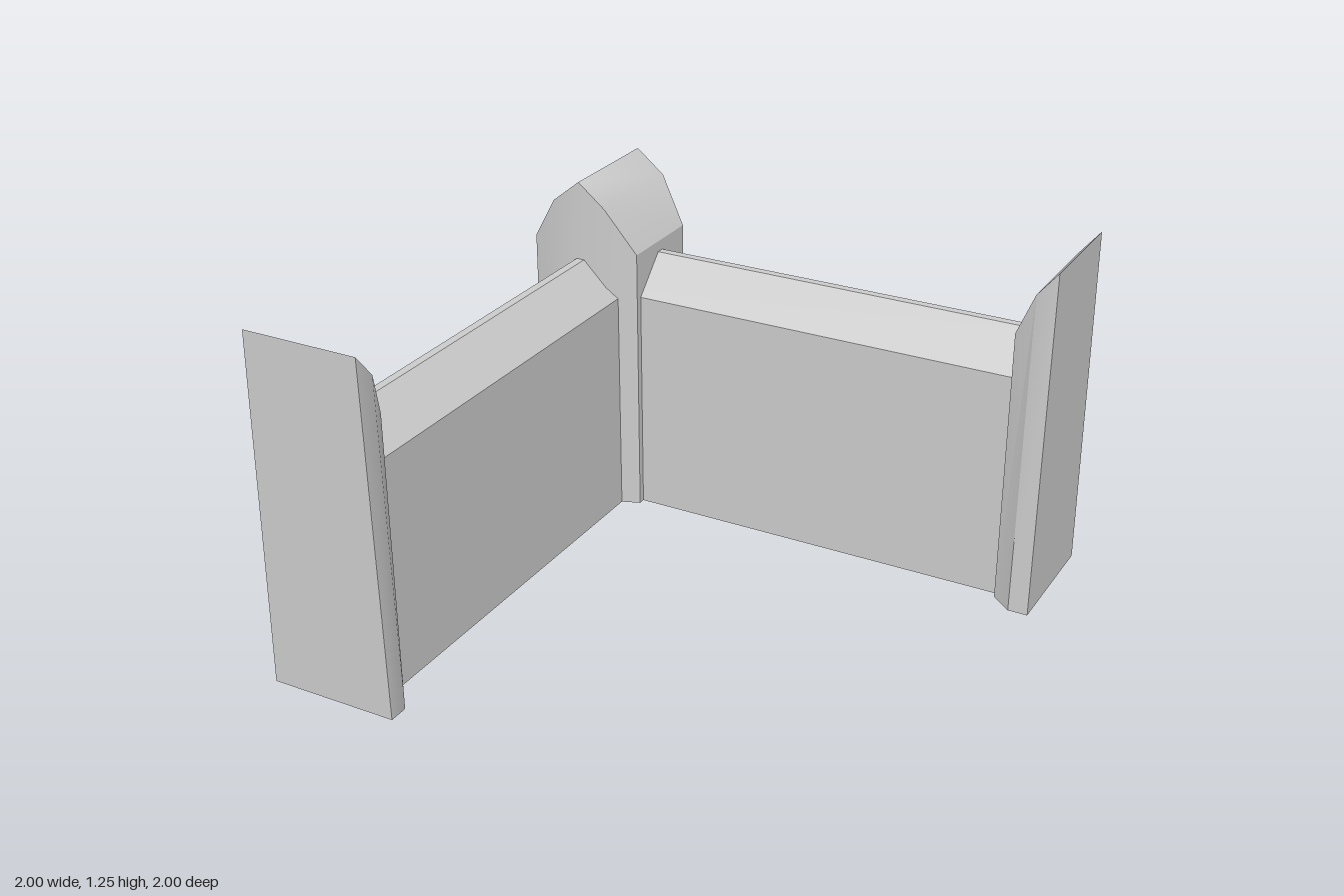
import * as THREE from 'three';
import { mergeGeometries, toCreasedNormals } from 'three/addons/utils/BufferGeometryUtils.js';

const CENTRE = -0.77; // centre line shared by both walls
const material = new THREE.MeshStandardMaterial({ color: 0xcccccc, side: THREE.DoubleSide });

// Quads given by corner points, with smooth normals below the crease angle
function quads(list, crease) {
  const positions = [];
  for (const [a, b, c, d] of list) positions.push(...a, ...b, ...c, ...a, ...c, ...d);
  const geometry = new THREE.BufferGeometry();
  geometry.setAttribute('position', new THREE.Float32BufferAttribute(positions, 3));
  return toCreasedNormals(geometry, crease);
}

// Post lofted along x from sections [x, height, front base, front top, back base, back top]
function postGeometry(sections) {
  const rings = sections.map(([x, h, fb, ft, bb, bt]) => [
    [x, 0, fb], [x, h, ft], [x, h, bt], [x, 0, bb],
  ]);
  const parts = [];
  for (let s = 0; s < 4; s++) {
    const t = (s + 1) % 4;
    const strip = [];
    for (let i = 0; i < rings.length - 1; i++) {
      strip.push([rings[i][s], rings[i + 1][s], rings[i + 1][t], rings[i][t]]);
    }
    parts.push(quads(strip, s === 1 ? 1.5 : 0.6)); // the arched cap is smooth
  }
  parts.push(quads([rings[0], [...rings[rings.length - 1]].reverse()], 0.1));
  return mergeGeometries(parts);
}

function mesh(name, geometry) {
  const m = new THREE.Mesh(geometry, material);
  m.name = name;
  return m;
}

// Wall with bevelled coping plus the half post that closes it, running along x
function createArm(name) {
  const arm = new THREE.Group();
  arm.name = name;

  const half = [[0.145, 0], [0.145, 0.83], [0.015, 0.96]];
  const outline = [...half, ...half.map(([z, y]) => [-z, y]).reverse()];
  const shape = new THREE.Shape(outline.map(([z, y]) => new THREE.Vector2(z, y)));
  const wall = new THREE.ExtrudeGeometry(shape, { depth: 0.93 - CENTRE, bevelEnabled: false });
  wall.rotateY(Math.PI / 2).translate(CENTRE, 0, 0);
  arm.add(mesh('wall', wall));

  arm.add(mesh('endPost', postGeometry([
    [0.857, 1.0, 0.17, 0.17, -0.17, -0.17],
    [0.93, 1.165, 0.23, 0.208, -0.23, -0.208],
    [1, 1.25, 0.23, 0.207, -0.23, -0.207],
  ])));
  return arm;
}

export function createModel() {
  const model = new THREE.Group();
  model.name = 'cornerWall';

  // Back wall along x, side wall along z
  const backArm = createArm('backWall');
  backArm.position.z = CENTRE;
  const sideArm = createArm('sideWall');
  sideArm.rotation.y = -Math.PI / 2;
  sideArm.position.x = CENTRE;
  model.add(backArm, sideArm);

  // Corner post with a pointed arch cap running front to back
  const sections = [-0.21, -0.105, 0, 0.105, 0.21].map((u) => {
    const outer = Math.abs(u) > 0.2;
    const height = outer ? 1.0 : u === 0 ? 1.25 : 1.165;
    return outer
      ? [CENTRE + u, height, -0.6, -0.6, -0.945, -0.94]
      : [CENTRE + u, height, -0.56, -0.56, -1, -0.98];
  });
  model.add(mesh('cornerPost', postGeometry(sections)));
  return model;
}
